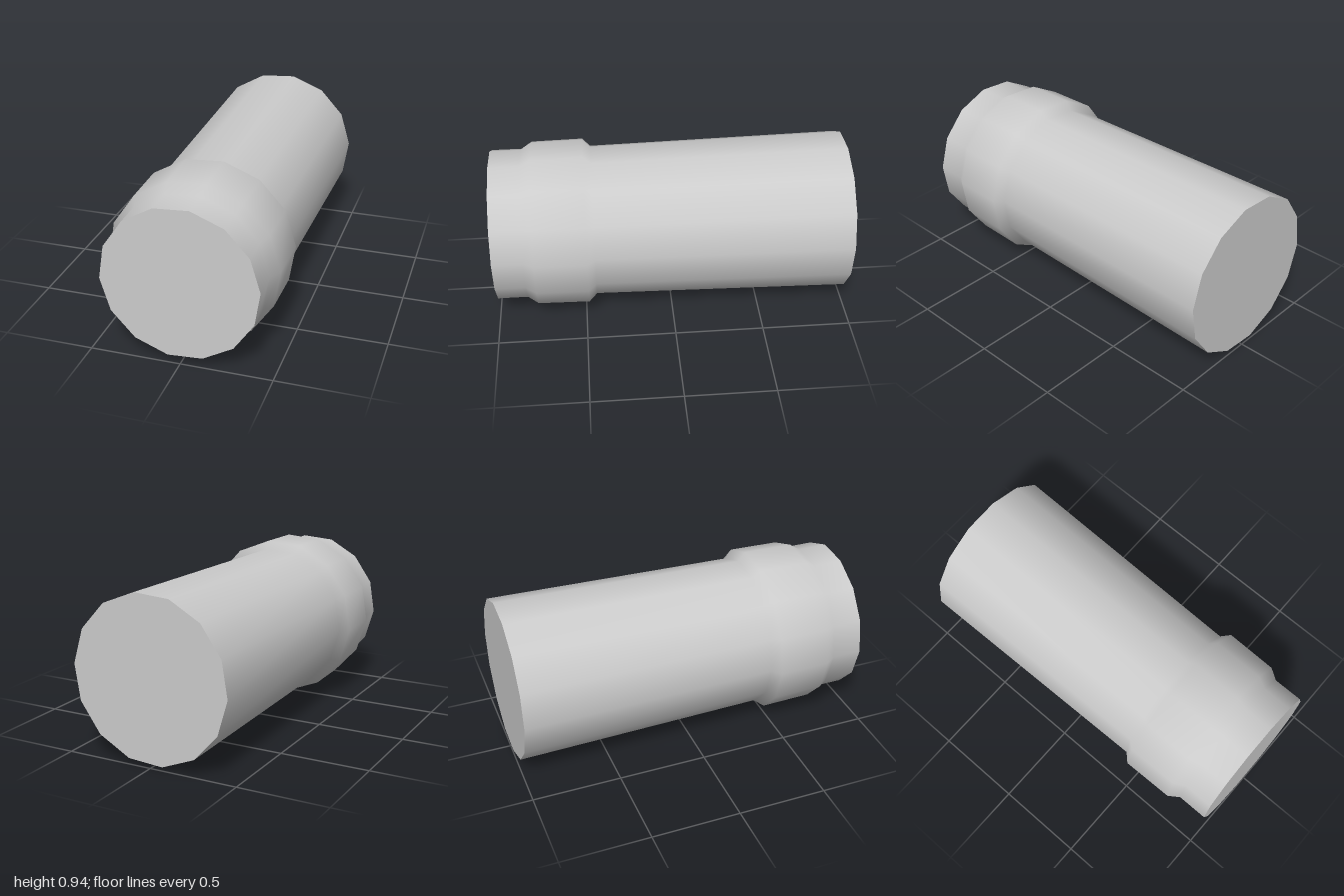
import * as THREE from 'three';

const SIDES = 14;
const TWIST = THREE.MathUtils.degToRad(3.7); // angle of the first corner
const CENTER_Y = 0.47;

// Radius and z of each ring, from the back end to the front end
const PROFILE = [
  [0.455, -1],
  [0.43, 0.435],
  [0.475, 0.48],
  [0.47, 0.77],
  [0.43, 0.83],
  [0.43, 1],
];

export function createModel() {
  const group = new THREE.Group();
  group.name = 'collaredTube';
  const material = new THREE.MeshStandardMaterial({ color: 0xcccccc });

  const add = (name, geometry, y, z) => {
    const mesh = new THREE.Mesh(geometry, material);
    mesh.name = name;
    mesh.position.set(0, y, z);
    group.add(mesh);
  };

  // Tapered body with the raised collar, turned to lie along z
  const points = PROFILE.map(([r, z]) => new THREE.Vector2(r, z));
  const body = new THREE.LatheGeometry(points, SIDES, Math.PI / 2 + TWIST);
  body.rotateX(Math.PI / 2);
  add('body', body, CENTER_Y, 0);

  // Flat closed ends
  const [backR, backZ] = PROFILE[0];
  const [frontR, frontZ] = PROFILE[PROFILE.length - 1];
  add('frontCap', new THREE.CircleGeometry(frontR, SIDES, TWIST), CENTER_Y, frontZ);
  const back = new THREE.CircleGeometry(backR, SIDES, Math.PI - TWIST);
  back.rotateY(Math.PI);
  add('backCap', back, CENTER_Y, backZ);

  return group;
}
